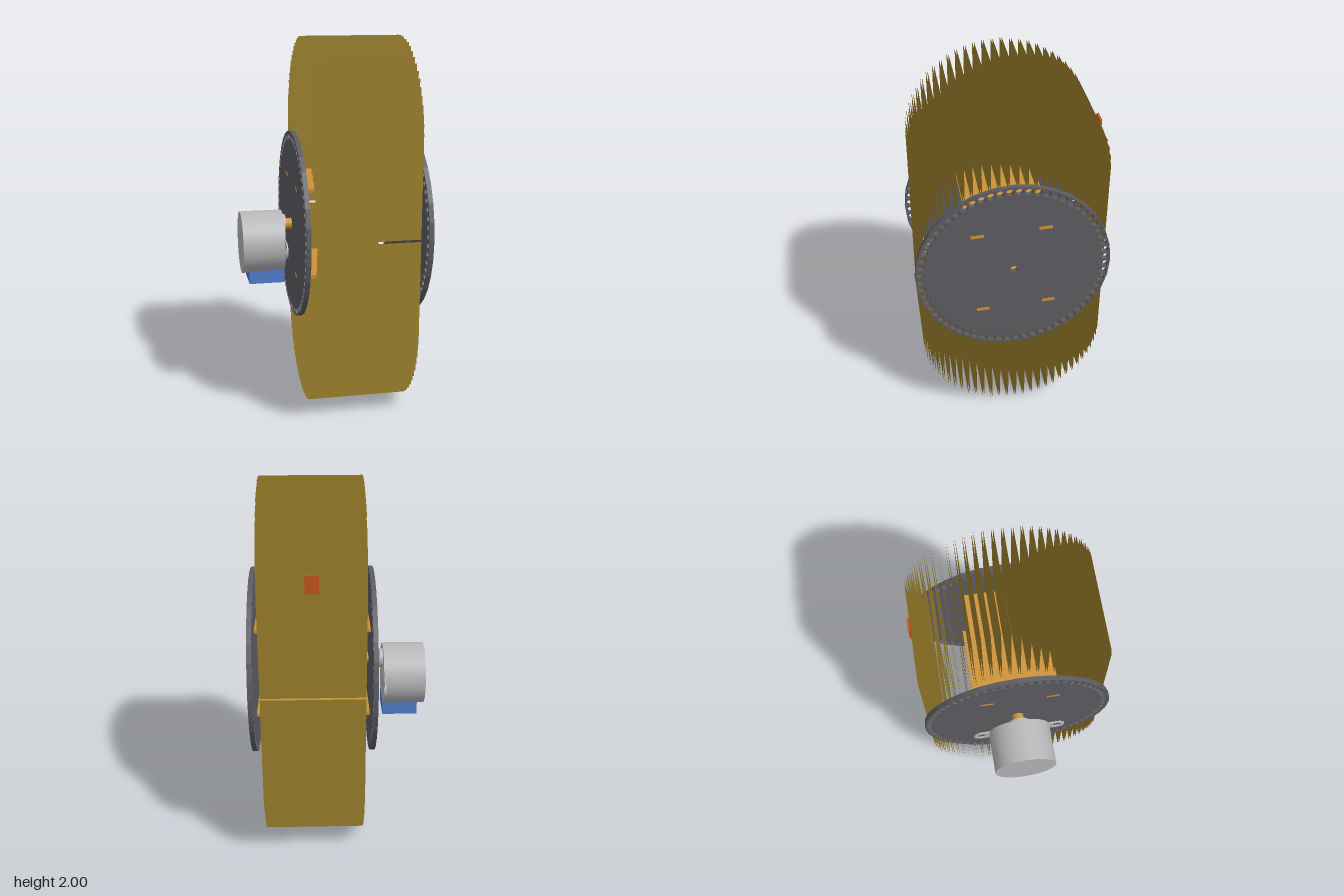
import * as THREE from 'three';
import { mergeGeometries } from 'three/addons/utils/BufferGeometryUtils.js';

const mat = (name, color, side = THREE.FrontSide) => {
  const m = new THREE.MeshStandardMaterial({ color, side });
  m.name = name;
  return m;
};

export function createModel() {
  const model = new THREE.Group();
  model.name = 'flapDrum';
  const olive = mat('flapOlive', 0x9c802c, THREE.DoubleSide);
  const dark = mat('discGrey', 0x5d5c62);
  const gold = mat('spacerGold', 0xcc9238);
  const steel = mat('motorSteel', 0xb8b8ba);
  const blue = mat('connectorBlue', 0x4f7ccc);
  const orange = mat('magnetOrange', 0xc4541f);

  const COUNT = 64, R = 0.475, AXIS = 1;

  const add = (name, geo, material, x = 0, y = 0, z = 0, parent = model) => {
    const m = new THREE.Mesh(geo, material);
    m.name = name;
    m.position.set(x, y, z);
    parent.add(m);
    return m;
  };
  const box = (name, x0, x1, y0, y1, z0, z1, material, parent) =>
    add(name, new THREE.BoxGeometry(x1 - x0, y1 - y0, z1 - z0), material,
      (x0 + x1) / 2, (y0 + y1) / 2, (z0 + z1) / 2, parent);
  // cylinder lying along x
  const rod = (name, x0, x1, r, y, material) =>
    add(name, new THREE.CylinderGeometry(r, r, x1 - x0, 64).rotateZ(Math.PI / 2), material, (x0 + x1) / 2, y, 0);
  const hole = (x, y, r) => new THREE.Path().absarc(x, y, r, 0, Math.PI * 2, true);
  // outline in the side plane, extruded along x
  const slab = (shape, depth, segments) =>
    new THREE.ExtrudeGeometry(shape, { depth, bevelEnabled: false, curveSegments: segments }).rotateY(Math.PI / 2);

  // side discs with a ring of pivot holes
  const disc = new THREE.Shape().absarc(0, 0, 0.503, 0, Math.PI * 2, false);
  disc.holes.push(hole(0, 0, 0.02));
  const angles = Array.from({ length: COUNT }, (_, i) => (i + 0.5) / COUNT * Math.PI * 2);
  for (const a of angles) disc.holes.push(hole(R * Math.cos(a), R * Math.sin(a), 0.0185));
  const discGeo = slab(disc, 0.025, 16);
  add('rightDisc', discGeo, dark, -0.19, AXIS, 0);
  add('leftDisc', discGeo, dark, 0.44, AXIS, 0);

  // flaps: a front and a back sheet each, upper ones standing, lower ones hanging
  const W = 0.535, H = 0.541, T = 0.0095;
  const flapGeo = mergeGeometries([
    new THREE.PlaneGeometry(W, H).translate(0, 0, T / 2),
    new THREE.PlaneGeometry(W, H).rotateY(Math.PI).translate(0, 0, -T / 2),
  ]);
  const flaps = new THREE.Group();
  flaps.name = 'flaps';
  model.add(flaps);
  for (const a of angles) {
    const s = Math.sin(a), dir = Math.sign(s);
    add(dir > 0 ? 'upperFlap' : 'lowerFlap', flapGeo, olive,
      0.1375, AXIS + R * s + dir * (H / 2 - 0.016), R * Math.cos(a) - 0.005, flaps);
  }

  // two spacer boards with tabs passing through the discs
  const drum = new THREE.Group();
  drum.name = 'spacers';
  drum.position.y = AXIS;
  drum.rotation.x = THREE.MathUtils.degToRad(3);
  model.add(drum);
  for (const s of [-1, 1]) {
    const y = s * 0.238;
    box('spacerBoard', -0.165, 0.44, y - 0.01, y + 0.01, -0.21, 0.21, gold, drum);
    for (const z of [-0.173, 0.173])
      box('spacerTab', -0.191, 0.466, y - 0.0095, y + 0.0095, z - 0.034, z + 0.034, gold, drum);
  }

  // motor with shaft, ears and connector
  const MY = 0.908;
  rod('shaftCoupler', -0.226, -0.128, 0.03, AXIS, gold);
  rod('motorBoss', -0.245, -0.225, 0.052, AXIS, steel);
  rod('motorBody', -0.468, -0.244, 0.167, MY, steel);
  const ear = new THREE.Shape()
    .absarc(0.208, 0, 0.042, -Math.PI / 2, Math.PI / 2, false)
    .absarc(-0.208, 0, 0.042, Math.PI / 2, Math.PI * 1.5, false);
  for (const s of [-1, 1]) ear.holes.push(hole(s * 0.208, 0, 0.025));
  add('motorEars', slab(ear, 0.007, 24), steel, -0.25, MY, 0);
  box('motorConnector', -0.433, -0.243, 0.695, 0.77, -0.088, 0.088, blue);

  // sensor magnet on the rear flap
  box('magnet', 0.102, 0.172, 1.567, 1.66, -0.491, -0.479, orange);

  return model;
}
